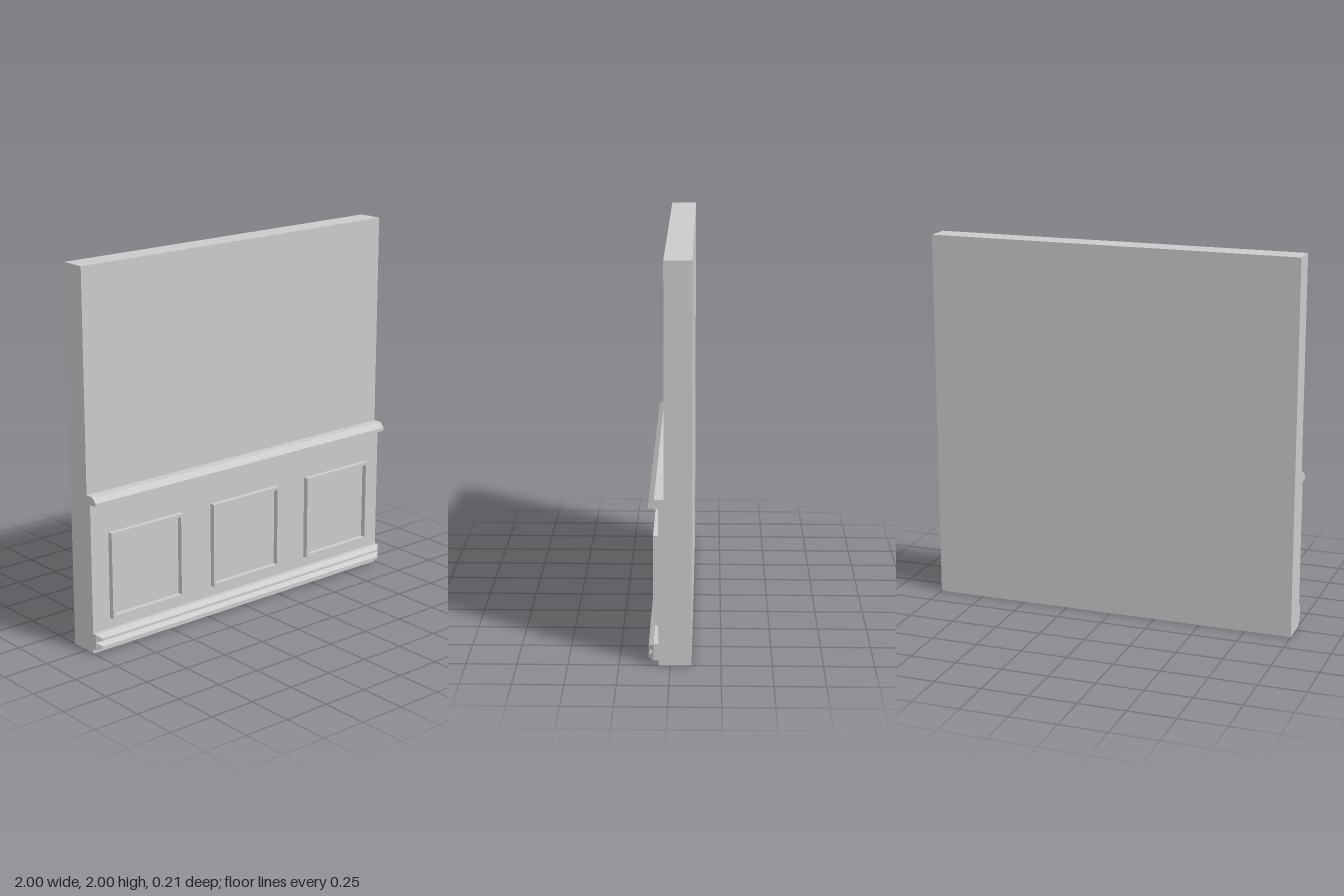
import * as THREE from 'three';

const material = new THREE.MeshStandardMaterial({ color: 0xcccccc, flatShading: true });

// Sweeps a [z, y] profile (counter-clockwise) along the full width of the wall.
function profileGeometry(points) {
  const shape = new THREE.Shape(points.map(([z, y]) => new THREE.Vector2(z, y)));
  const geometry = new THREE.ExtrudeGeometry(shape, { depth: 2, bevelEnabled: false });
  return geometry.rotateY(-Math.PI / 2).translate(1, 0, 0);
}

// Pulls the ends inward where the profile stands proud, like a mitred return.
function mitreEnds(geometry, zStart) {
  const p = geometry.attributes.position;
  for (let i = 0; i < p.count; i++) {
    const inset = Math.max(0, p.getZ(i) - zStart);
    p.setX(i, p.getX(i) - Math.sign(p.getX(i)) * inset);
  }
  geometry.computeVertexNormals();
  return geometry;
}

// Square frame with an open centre.
function frameGeometry(size, border, depth) {
  const square = (Type, h) =>
    new Type([[-h, -h], [h, -h], [h, h], [-h, h]].map(([x, y]) => new THREE.Vector2(x, y)));
  const shape = square(THREE.Shape, size / 2);
  shape.holes.push(square(THREE.Path, size / 2 - border));
  return new THREE.ExtrudeGeometry(shape, { depth, bevelEnabled: false });
}

export function createModel() {
  const model = new THREE.Group();
  model.name = 'panelledWall';
  const add = (name, geometry) => {
    const mesh = new THREE.Mesh(geometry, material);
    mesh.name = name;
    model.add(mesh);
    return mesh;
  };

  // Wall, thicker in the wainscot below the rail
  add('wall', profileGeometry([
    [-0.105, 0], [0.057, 0], [0.057, 0.82], [0.03, 0.82], [0.03, 2], [-0.105, 2],
  ]));

  // Chair rail
  add('chairRail', profileGeometry([
    [0.03, 0.8], [0.08, 0.8], [0.092, 0.803], [0.105, 0.8],
    [0.105, 0.818], [0.077, 0.845], [0.03, 0.845],
  ]));

  // Skirting: flat core with two beads that return at the ends
  add('skirtingCore', profileGeometry([
    [0.05, 0.025], [0.08, 0.025], [0.08, 0.11], [0.05, 0.11],
  ]));
  [['lowerBead', 0.025], ['upperBead', 0.068]].forEach(([name, y]) => {
    add(name, mitreEnds(profileGeometry([
      [0.078, y], [0.08, y], [0.105, y + 0.011], [0.105, y + 0.024], [0.08, y + 0.042], [0.078, y + 0.042],
    ]), 0.08));
  });

  // Three raised panel frames
  const frame = frameGeometry(0.462, 0.016, 0.03);
  [-0.661, 0.005, 0.671].forEach((x, i) => {
    add(`panelFrame${i + 1}`, frame).position.set(x, 0.4, 0.055);
  });

  return model;
}
